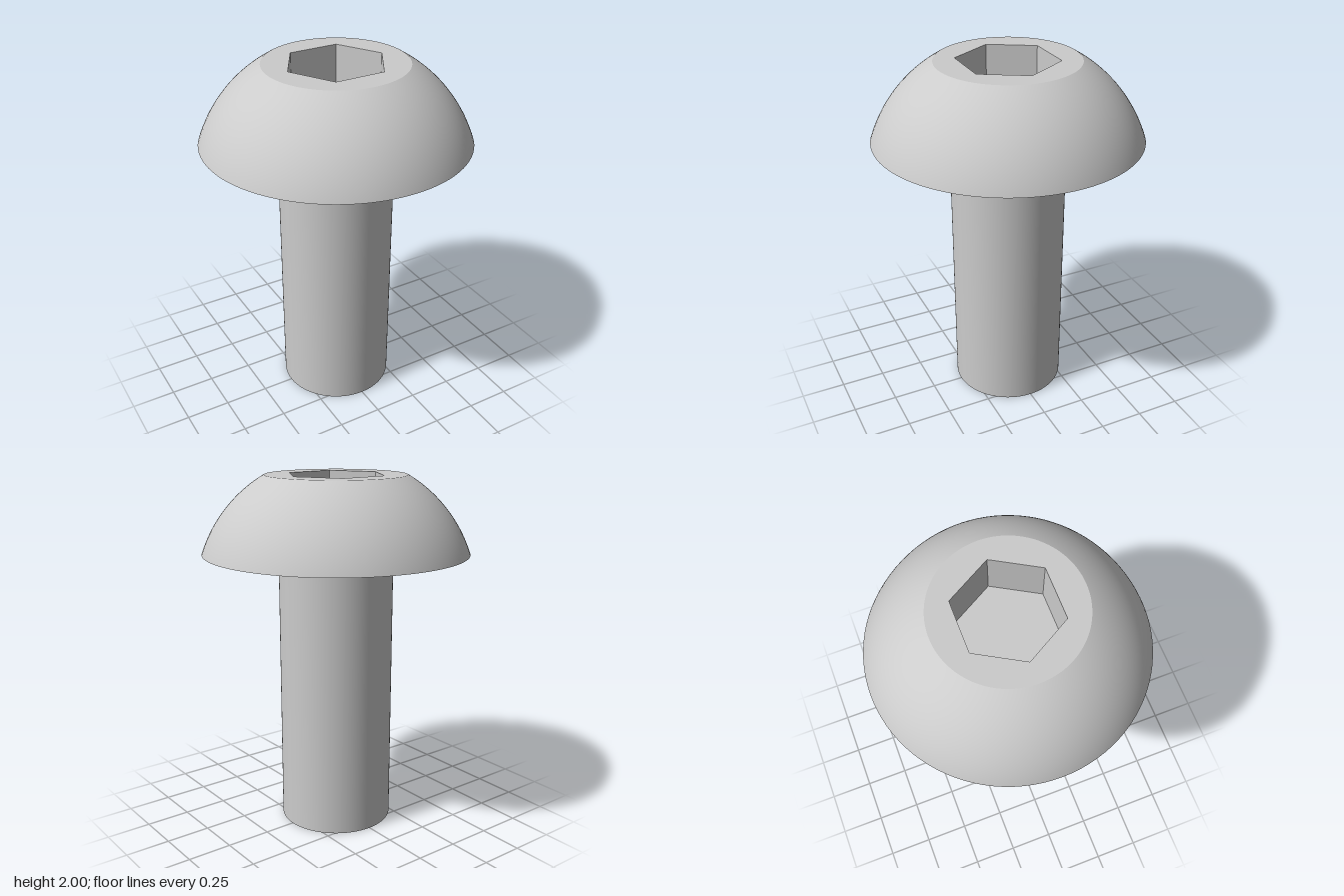
import * as THREE from 'three';

const SEG = 96;
const HEAD_Y = 1.575, TOP_Y = 2, RIM_R = 0.742, TOP_R = 0.392;
const SHANK_R = 0.32, HEX_R = 0.28, HEX_DEPTH = 0.28;

export function createModel() {
  const group = new THREE.Group();
  group.name = 'buttonHeadBolt';
  const material = new THREE.MeshStandardMaterial({ color: 0xcccccc });
  const flatMaterial = new THREE.MeshStandardMaterial({ color: 0xcccccc, flatShading: true });

  const add = (name, geometry, mat = material) => {
    const mesh = new THREE.Mesh(geometry, mat);
    mesh.name = name;
    group.add(mesh);
    return mesh;
  };

  // Shank with a closed bottom end
  const shank = new THREE.CylinderGeometry(SHANK_R, SHANK_R, HEAD_Y, SEG, 1, true);
  add('shank', shank.translate(0, HEAD_Y / 2, 0));
  add('shankEnd', new THREE.CircleGeometry(SHANK_R, SEG).rotateX(Math.PI / 2));

  // Domed head: a band of a sphere centred on the axis
  const h = TOP_Y - HEAD_Y;
  const rise = (RIM_R ** 2 - TOP_R ** 2 - h * h) / (2 * h);
  const radius = Math.hypot(RIM_R, rise);
  const topAngle = Math.asin(TOP_R / radius);
  const rimAngle = Math.acos(rise / radius);
  const dome = new THREE.SphereGeometry(radius, SEG, 24, 0, Math.PI * 2, topAngle, rimAngle - topAngle);
  add('headDome', dome.translate(0, HEAD_Y - rise, 0));

  // Flat underside of the head
  const underside = new THREE.RingGeometry(SHANK_R, RIM_R, SEG).rotateX(Math.PI / 2);
  add('headUnderside', underside.translate(0, HEAD_Y, 0));

  // Flat top with a hexagonal opening, corners on the x axis
  const corners = Array.from({ length: 6 }, (_, i) => {
    const a = (i * Math.PI) / 3;
    return new THREE.Vector2(HEX_R * Math.cos(a), HEX_R * Math.sin(a));
  });
  const top = new THREE.Shape().absarc(0, 0, TOP_R, 0, Math.PI * 2);
  top.holes.push(new THREE.Path(corners));
  const topGeometry = new THREE.ShapeGeometry(top, SEG).rotateX(-Math.PI / 2);
  add('headTop', topGeometry.translate(0, TOP_Y, 0));

  // Socket walls, mirrored to face inwards, and the socket floor
  const walls = new THREE.CylinderGeometry(HEX_R, HEX_R, HEX_DEPTH, 6, 1, true, Math.PI / 2);
  const index = walls.index;
  for (let i = 0; i < index.count; i += 3) {
    const a = index.getX(i);
    index.setX(i, index.getX(i + 1));
    index.setX(i + 1, a);
  }
  add('socketWalls', walls.translate(0, TOP_Y - HEX_DEPTH / 2, 0), flatMaterial);
  const floor = new THREE.CircleGeometry(HEX_R, 6).rotateX(-Math.PI / 2);
  add('socketFloor', floor.translate(0, TOP_Y - HEX_DEPTH, 0));

  return group;
}
